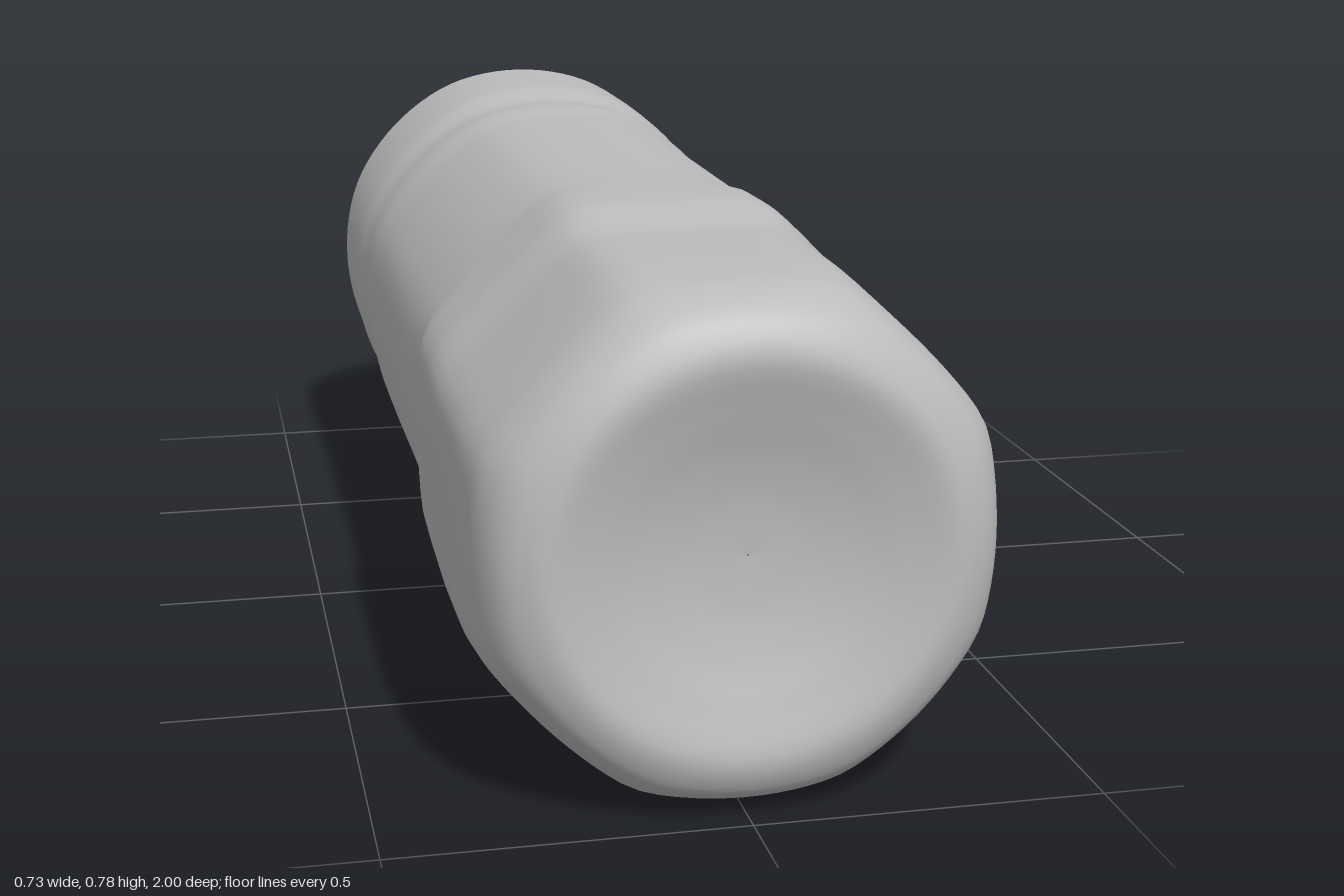
import * as THREE from 'three';

const SEG = 96;
const steel = new THREE.MeshStandardMaterial({ color: 0xbcbcbc });
steel.name = 'grey metal';

// Radius of a unit rounded octagon (k = 1) blended towards a circle (k = 0)
function unitRadius(a, k) {
  let sum = 0;
  for (let i = 0; i < 8; i++) sum += Math.max(0, Math.cos(a - i * Math.PI / 4)) ** 32;
  return 1 + k * (sum ** (-1 / 32) - 1);
}

// Slope that never overshoots its two neighbouring steps
const slope = (d0, d1) => (d0 * d1 > 0 ? 2 * d0 * d1 / (d0 + d1) : 0);

// Smooth value of one station column at t between stations i and i + 1
function sample(stations, c, i, t) {
  const at = n => stations[Math.min(Math.max(n, 0), stations.length - 1)][c];
  const a = at(i), b = at(i + 1), d = b - a;
  const m0 = i === 0 ? d : slope(a - at(i - 1), d);
  const m1 = i === stations.length - 2 ? d : slope(d, at(i + 2) - b);
  const t2 = t * t, t3 = t2 * t;
  return a + (t3 - 2 * t2 + t) * m0 + (3 * t2 - 2 * t3) * d + (t3 - t2) * m1;
}

// Closed shell through stations [z, half width, bottom, top, octagon blend]
function loft(stations, steps, shift) {
  const pos = [], index = [];
  const n = (stations.length - 1) * steps;
  for (let r = 0; r <= n; r++) {
    const i = Math.min(Math.floor(r / steps), stations.length - 2);
    const [z, w, yb, yt, k] = [0, 1, 2, 3, 4].map(c => sample(stations, c, i, r / steps - i));
    for (let j = 0; j < SEG; j++) {
      const a = j / SEG * Math.PI * 2, u = unitRadius(a, k);
      const x = w * u * Math.cos(a);
      const y = (yb + yt) / 2 + (yt - yb) / 2 * u * Math.sin(a);
      pos.push(x, y, z + shift(x, y, z));
      if (r === 0) continue;
      const j2 = (j + 1) % SEG, A = (r - 1) * SEG, B = r * SEG;
      index.push(A + j, B + j, A + j2, A + j2, B + j, B + j2);
    }
  }
  const g = new THREE.BufferGeometry();
  g.setAttribute('position', new THREE.Float32BufferAttribute(pos, 3));
  g.setIndex(index);
  g.computeVertexNormals();
  return g;
}

export function createModel() {
  const group = new THREE.Group();
  group.name = 'tool socket';

  // Dished octagonal head with rounded rim
  const head = [
    [0.95, 0.001, 0.364, 0.366, 0],
    [0.954, 0.07, 0.295, 0.435, 0],
    [0.966, 0.14, 0.225, 0.505, 0],
    [0.985, 0.21, 0.155, 0.575, 0],
    [1.0, 0.275, 0.09, 0.64, 0],
    [0.985, 0.315, 0.045, 0.685, 0.1],
    [0.95, 0.345, 0.018, 0.713, 0.3],
    [0.88, 0.362, 0.003, 0.727, 0.65],
    [0.76, 0.365, 0, 0.73, 0.95],
    [0.6, 0.365, 0, 0.73, 1],
    [0.45, 0.365, 0, 0.751, 0.95],
    [0.35, 0.365, 0.007, 0.752, 0.85],
  ];
  // Worn shank, shallow groove and round collar
  const shank = [
    [0.25, 0.359, 0.027, 0.752, 0.45],
    [0.1, 0.358, 0.03, 0.752, 0.35],
    [-0.15, 0.359, 0.03, 0.752, 0.35],
    [-0.38, 0.36, 0.031, 0.753, 0.3],
    [-0.49, 0.361, 0.046, 0.761, 0.2],
    [-0.58, 0.361, 0.046, 0.756, 0.15],
    [-0.68, 0.364, 0.039, 0.773, 0.12],
    [-0.8, 0.364, 0.048, 0.776, 0.1],
    [-0.91, 0.363, 0.05, 0.776, 0.1],
    [-0.96, 0.35, 0.063, 0.763, 0.05],
    [-0.983, 0.32, 0.095, 0.73, 0],
    [-0.985, 0.25, 0.16, 0.66, 0],
    [-0.985, 0.17, 0.24, 0.58, 0],
    [-0.985, 0.085, 0.325, 0.495, 0],
    [-0.985, 0.001, 0.409, 0.411, 0],
  ];
  // Rear face steps inward above a slanted line
  const rearStep = (x, y, z) => THREE.MathUtils.smoothstep(-z, 0.9, 0.985)
    * (THREE.MathUtils.smoothstep(y - 0.55 * x, 0.31, 0.43) * 0.03 - 0.015);

  const body = new THREE.Mesh(loft([...head, ...shank], 6, rearStep), steel);
  body.name = 'body';
  group.add(body);
  return group;
}
